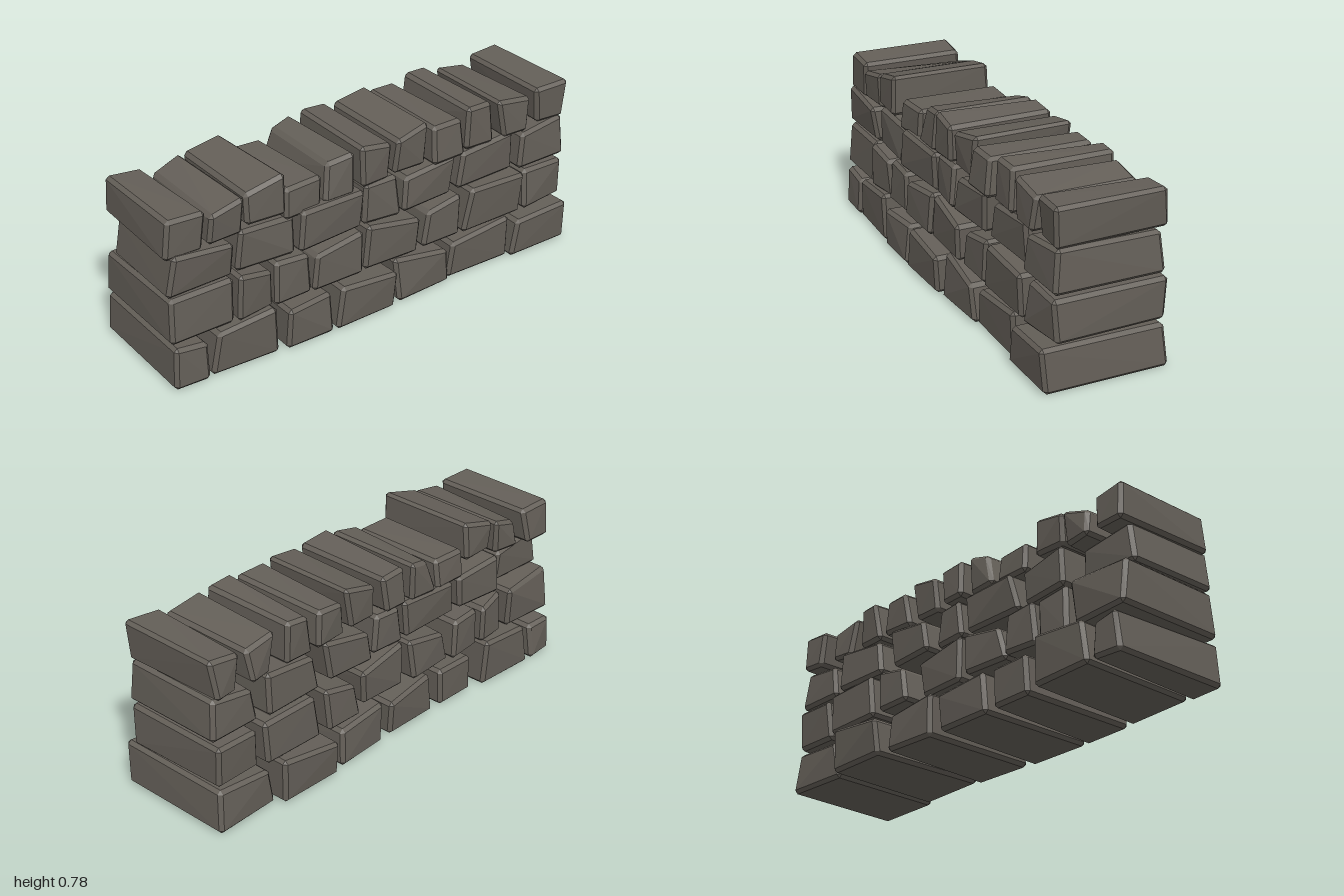
import * as THREE from 'three';
import { ConvexGeometry } from 'three/addons/geometries/ConvexGeometry.js';

// Each stone: top z front/back, bottom z front/back, base y, top y front/back, x min/max
const foundation = [
  [0.99, 0.84, 1.00, 0.84, 0, 0.185, 0.165, -0.30, 0.27],
  [0.80, 0.53, 0.83, 0.52, 0, 0.19, 0.215, -0.31, 0.28],
  [0.48, 0.26, 0.49, 0.26, 0, 0.18, 0.18, -0.27, 0.29],
  [0.22, -0.06, 0.25, -0.05, 0, 0.19, 0.17, -0.27, 0.30],
  [-0.07, -0.34, -0.08, -0.36, 0, 0.20, 0.165, -0.28, 0.28],
  [-0.38, -0.69, -0.36, -0.69, 0, 0.165, 0.20, -0.31, 0.27],
  [-0.72, -0.99, -0.69, -1.00, 0, 0.17, 0.19, -0.27, 0.30],
];
const secondCourse = [
  [0.99, 0.70, 1.00, 0.71, 0.2, 0.395, 0.395, -0.27, 0.25],
  [0.69, 0.53, 0.70, 0.52, 0.2, 0.405, 0.37, -0.27, 0.26],
  [0.51, 0.35, 0.52, 0.34, 0.2, 0.39, 0.38, -0.28, 0.26],
  [0.32, 0.08, 0.34, 0.09, 0.2, 0.36, 0.39, -0.26, 0.27],
  [0.06, -0.20, 0.08, -0.19, 0.2, 0.40, 0.36, -0.26, 0.27],
  [-0.25, -0.43, -0.22, -0.42, 0.2, 0.36, 0.39, -0.28, 0.26],
  [-0.47, -0.76, -0.43, -0.75, 0.2, 0.40, 0.39, -0.27, 0.27],
  [-0.78, -0.99, -0.77, -1.00, 0.2, 0.38, 0.38, -0.26, 0.26],
];
const thirdCourse = [
  [0.97, 0.70, 1.00, 0.70, 0.4, 0.58, 0.555, -0.21, 0.25],
  [0.66, 0.40, 0.68, 0.41, 0.4, 0.58, 0.56, -0.25, 0.24],
  [0.38, 0.07, 0.40, 0.08, 0.4, 0.575, 0.57, -0.25, 0.25],
  [0.06, -0.10, 0.07, -0.11, 0.4, 0.58, 0.58, -0.24, 0.25],
  [-0.14, -0.40, -0.12, -0.38, 0.4, 0.55, 0.58, -0.25, 0.25],
  [-0.45, -0.72, -0.42, -0.73, 0.4, 0.56, 0.585, -0.25, 0.24],
  [-0.76, -0.99, -0.74, -1.00, 0.4, 0.56, 0.585, -0.24, 0.25],
];
const capping = [
  [0.98, 0.81, 1.00, 0.83, 0.56, 0.73, 0.725, -0.26, 0.23],
  [0.80, 0.64, 0.81, 0.65, 0.57, 0.70, 0.73, -0.25, 0.24],
  [0.64, 0.46, 0.64, 0.46, 0.60, 0.735, 0.78, -0.23, 0.25],
  [0.44, 0.26, 0.45, 0.27, 0.55, 0.685, 0.69, -0.24, 0.23],
  [0.23, 0.10, 0.26, 0.11, 0.56, 0.72, 0.74, -0.25, 0.22],
  [0.08, -0.07, 0.08, -0.06, 0.575, 0.755, 0.735, -0.25, 0.25],
  [-0.10, -0.27, -0.09, -0.25, 0.575, 0.73, 0.76, -0.24, 0.23],
  [-0.28, -0.43, -0.27, -0.44, 0.57, 0.735, 0.735, -0.24, 0.25],
  [-0.47, -0.60, -0.46, -0.61, 0.57, 0.76, 0.755, -0.25, 0.24],
  [-0.63, -0.81, -0.66, -0.79, 0.57, 0.745, 0.72, -0.24, 0.25],
  [-0.83, -1.00, -0.85, -0.99, 0.58, 0.745, 0.755, -0.25, 0.25],
];

// Small seeded generator for irregular corners
function seeded(seed) {
  return () => (seed = (seed * 16807) % 2147483647) / 2147483647;
}

// Roughly squared stone: eight skewed corners, each cut back to make chamfered edges
function stoneGeometry([ztf, ztb, zbf, zbb, y0, ytf, ytb, xl, xr], rand) {
  const corners = [];
  for (let i = 0; i < 8; i++) {
    const right = i & 1, top = i & 2, front = i & 4;
    const inset = 0.03 * rand();
    const z = top ? (front ? ztf : ztb) : (front ? zbf : zbb);
    const y = top ? (front ? ytf : ytb) : y0;
    const skew = right ? 0 : 0.025 * rand();
    corners.push(new THREE.Vector3(
      right ? xr - inset : xl + inset,
      top ? y - skew * 0.6 : y,
      front ? z - skew : z + skew * 0.6));
  }
  const bevel = 0.015;
  const points = [];
  corners.forEach((c, i) => {
    const pull = [1, 2, 4].map(bit => corners[i ^ bit].clone().sub(c).setLength(bevel));
    for (let axis = 0; axis < 3; axis++) {
      points.push(c.clone().add(pull[(axis + 1) % 3]).add(pull[(axis + 2) % 3]));
    }
  });
  return new ConvexGeometry(points);
}

export function createModel() {
  const stone = new THREE.MeshStandardMaterial({ color: 0x645f58 });
  stone.name = 'grey brown stone';
  const rand = seeded(4177);
  const wall = new THREE.Group();
  wall.name = 'dryStoneWall';

  // Four courses, stacked from the ground up
  const courses = { foundation, secondCourse, thirdCourse, capping };
  for (const [name, stones] of Object.entries(courses)) {
    const course = new THREE.Group();
    course.name = name;
    stones.forEach((spec, i) => {
      const mesh = new THREE.Mesh(stoneGeometry(spec, rand), stone);
      mesh.name = `${name}Stone${i + 1}`;
      course.add(mesh);
    });
    wall.add(course);
  }
  return wall;
}
